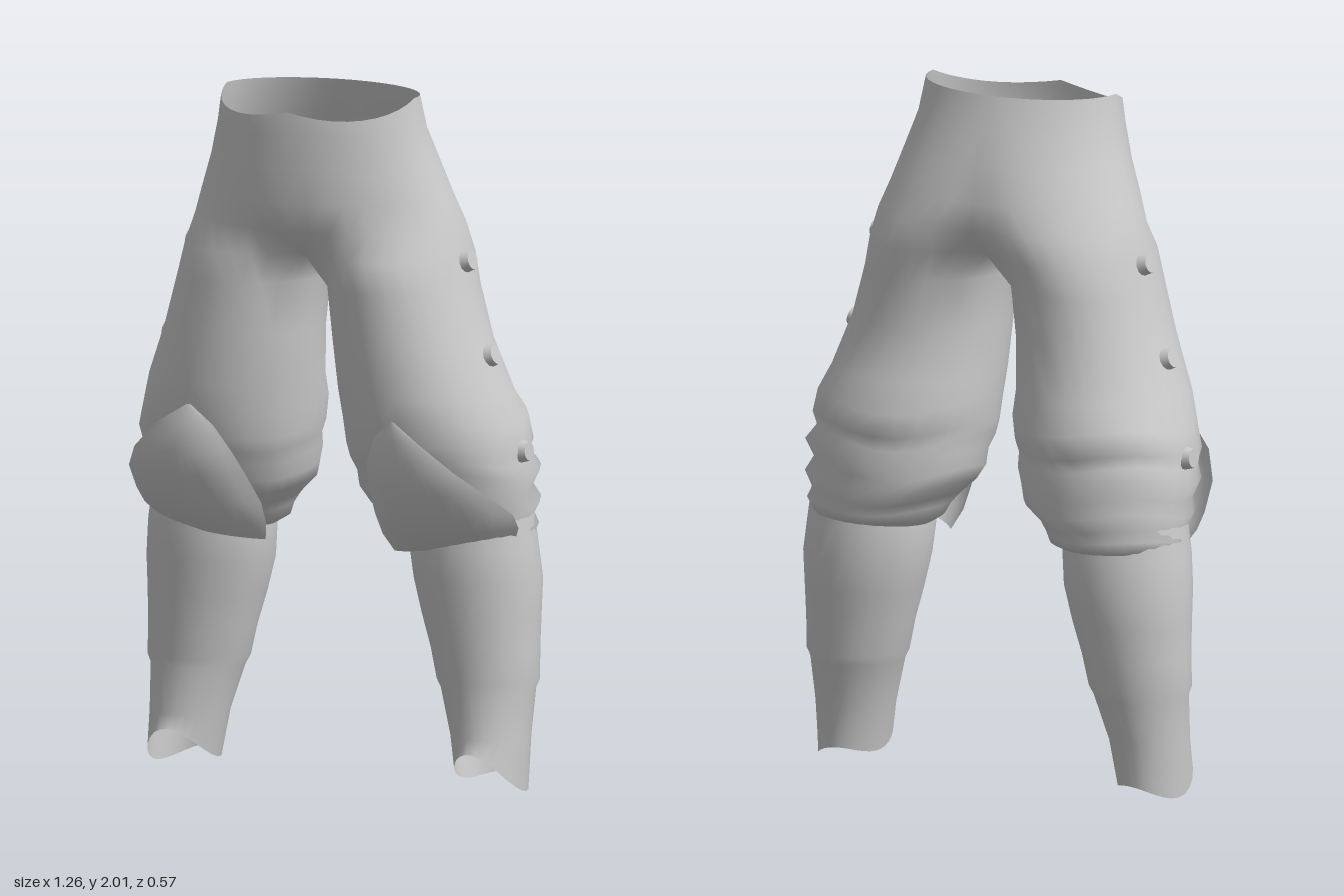
import * as THREE from 'three';
import { mergeGeometries, mergeVertices } from 'three/addons/utils/BufferGeometryUtils.js';

const OUT = 20, INN = 8, N = OUT + INN; // ring points: outer arc, inner thigh arc
const lerp = THREE.MathUtils.lerp;
const cloth = new THREE.MeshStandardMaterial({ color: 0xcccccc, side: THREE.DoubleSide });

function build(positions, index) {
  const g = new THREE.BufferGeometry();
  g.setAttribute('position', new THREE.Float32BufferAttribute(positions, 3));
  g.setIndex(index);
  g.computeVertexNormals();
  return g;
}

// Reflect across x = 0, reversing the corner order
function mirror(geo) {
  const g = geo.clone().scale(-1, 1, 1);
  g.setIndex(Array.from(geo.index.array).reverse());
  g.computeVertexNormals();
  return g;
}

// One ring: k = 0 is half of the hip oval, k = 1 a closed leg oval
function ring({ y, xi, xo, zf, zb, k = 1, seam = false, sway = 0, lift }) {
  const pts = [], cz = (zf + zb) / 2, rz = (zf - zb) / 2;
  const cx = (xi + xo) / 2, rx = (xo - xi) / 2, a0 = -0.87, a1 = Math.PI + 0.87;
  for (let i = 0; i < N; i++) {
    const outer = i <= OUT;
    const a = outer ? lerp(a0, a1, i / OUT) : lerp(a1, a0 + 2 * Math.PI, (i - OUT) / INN);
    let x = cx + rx * Math.sin(a), z = cz + rz * Math.cos(a);
    if (outer) {
      const h = Math.PI * i / OUT;
      const blend = h < Math.PI / 2 ? k * k : k;
      x = lerp(xo * Math.sin(h), x, blend);
      z = lerp(cz + rz * Math.cos(h), z, blend);
    }
    if (seam && (i === 0 || i >= OUT)) x = 0;
    pts.push(x, y + sway * Math.sin(a * 3 + 0.6) + (lift ? lift(a) : 0), z);
  }
  return pts;
}

// Skin rings from the top down; hip rings have no inner wall
function loft(rows) {
  const index = [];
  for (let r = 0; r < rows.length - 1; r++) {
    const count = (rows[r].k ?? 1) < 1 ? OUT : N;
    for (let i = 0; i < count; i++) {
      const j = (i + 1) % N, a = r * N + i, b = r * N + j;
      index.push(a, a + N, b, b, a + N, b + N);
    }
  }
  return build(rows.flatMap(ring), index);
}

const leg = ([y, xi, xo, zf, zb, sway = 0]) => ({ y, xi, xo, zf, zb, sway });

function trouserGeometry() {
  const hips = [
    [2.0, 0.305, 0.28, -0.13, 0], [1.9, 0.32, 0.285, -0.16, 0],
    [1.8, 0.35, 0.285, -0.2, 0.1], [1.7, 0.385, 0.29, -0.23, 0.2],
    [1.62, 0.415, 0.28, -0.25, 0.35], [1.54, 0.435, 0.268, -0.235, 1],
  ].map(([y, xo, zf, zb, k]) => ({ y, xi: 0, xo, zf, zb, k, seam: true }));
  // Waist rim dips at the front
  hips[0].lift = a => -0.055 * Math.max(0, Math.cos(a));
  // Thigh, then bunched folds above the hem
  const thigh = [
    [1.45, 0.03, 0.457, 0.265, -0.22], [1.3, 0.045, 0.5, 0.265, -0.22],
    [1.15, 0.055, 0.56, 0.26, -0.245], [1.07, 0.06, 0.59, 0.25, -0.285, 0.015],
    [1.0, 0.065, 0.61, 0.235, -0.275, 0.015], [0.96, 0.075, 0.6, 0.22, -0.258, 0.018],
    [0.92, 0.085, 0.625, 0.2, -0.285, 0.018], [0.87, 0.09, 0.602, 0.18, -0.26, 0.015],
    [0.83, 0.11, 0.62, 0.16, -0.28, 0.015], [0.785, 0.16, 0.598, 0.13, -0.255, 0.01],
    [0.755, 0.185, 0.61, 0.12, -0.26, 0.008], [0.725, 0.2, 0.59, 0.1, -0.25],
    [0.7, 0.24, 0.57, 0.07, -0.2],
  ].map(leg);
  const half = loft([...hips, ...thigh]);
  half.deleteAttribute('normal');
  const other = mirror(half);
  other.deleteAttribute('normal');
  const g = mergeVertices(mergeGeometries([half, other]), 1e-4);
  g.computeVertexNormals();
  return g;
}

function shinGeometry() {
  const rows = [
    [0.82, 0.24, 0.6, 0.1, -0.22], [0.7, 0.235, 0.615, 0.11, -0.235],
    [0.6, 0.245, 0.625, 0.1, -0.242], [0.5, 0.27, 0.622, 0.09, -0.23],
    [0.4, 0.3, 0.62, 0.08, -0.215], [0.31, 0.32, 0.622, 0.075, -0.205],
    [0.285, 0.335, 0.61, 0.072, -0.198], [0.15, 0.375, 0.605, 0.075, -0.165],
    [0.04, 0.4, 0.6, 0.098, -0.157],
  ].map(leg);
  // Ankle opening arches at the front and dips at the sides
  rows.at(-1).lift = a => 0.04 * Math.cos(a) + 0.03 * Math.cos(2 * a) - 0.012 * Math.sin(a);
  return loft(rows);
}

// Pointed knee flap: y, inner x, outer x, front z
function flapGeometry() {
  const rows = [
    [1.09, 0.325, 0.335, 0.268], [1.03, 0.26, 0.43, 0.28], [0.95, 0.22, 0.52, 0.275],
    [0.88, 0.2, 0.58, 0.252], [0.8, 0.185, 0.615, 0.205], [0.745, 0.19, 0.612, 0.16],
    [0.7, 0.21, 0.59, 0.1],
  ];
  const M = 14, pos = [], index = [];
  rows.forEach(([y, x0, x1, z], r) => {
    for (let i = 0; i <= M; i++) {
      const x = lerp(x0, x1, i / M), s = (x - 0.39) / 0.25;
      const tilt = r > 3 ? 0.05 * (r - 3) * (x - 0.4) : 0;
      pos.push(x, y + tilt, z - 0.27 * (1 - Math.sqrt(Math.max(0, 1 - s * s))));
      if (r < rows.length - 1 && i < M) {
        const a = r * (M + 1) + i, c = a + M + 1;
        index.push(a, c, a + 1, a + 1, c, c + 1);
      }
    }
  });
  return build(pos, index);
}

export function createModel() {
  const model = new THREE.Group();
  const add = (name, geo) => {
    const mesh = new THREE.Mesh(geo, cloth);
    mesh.name = name;
    model.add(mesh);
    return mesh;
  };
  add('trousers', trouserGeometry());

  const pairs = { Shin: shinGeometry(), KneeFlap: flapGeometry() };
  for (const [name, geo] of Object.entries(pairs)) {
    add('left' + name, geo);
    add('right' + name, mirror(geo));
  }

  // Round buttons down each outer seam: x, y, z, lean
  const button = new THREE.CylinderGeometry(0.028, 0.034, 0.03, 12).rotateZ(-Math.PI / 2);
  for (const [x, y, z, lean] of [[0.446, 1.53, 0.01, 0.25], [0.522, 1.26, 0.01, 0.3], [0.611, 0.985, -0.025, 0.08]]) {
    for (const side of [1, -1]) {
      const b = add(side > 0 ? 'leftButton' : 'rightButton', button);
      b.position.set(side * x, y, z);
      b.rotation.set(0, side > 0 ? 0 : Math.PI, lean);
    }
  }
  return model;
}
